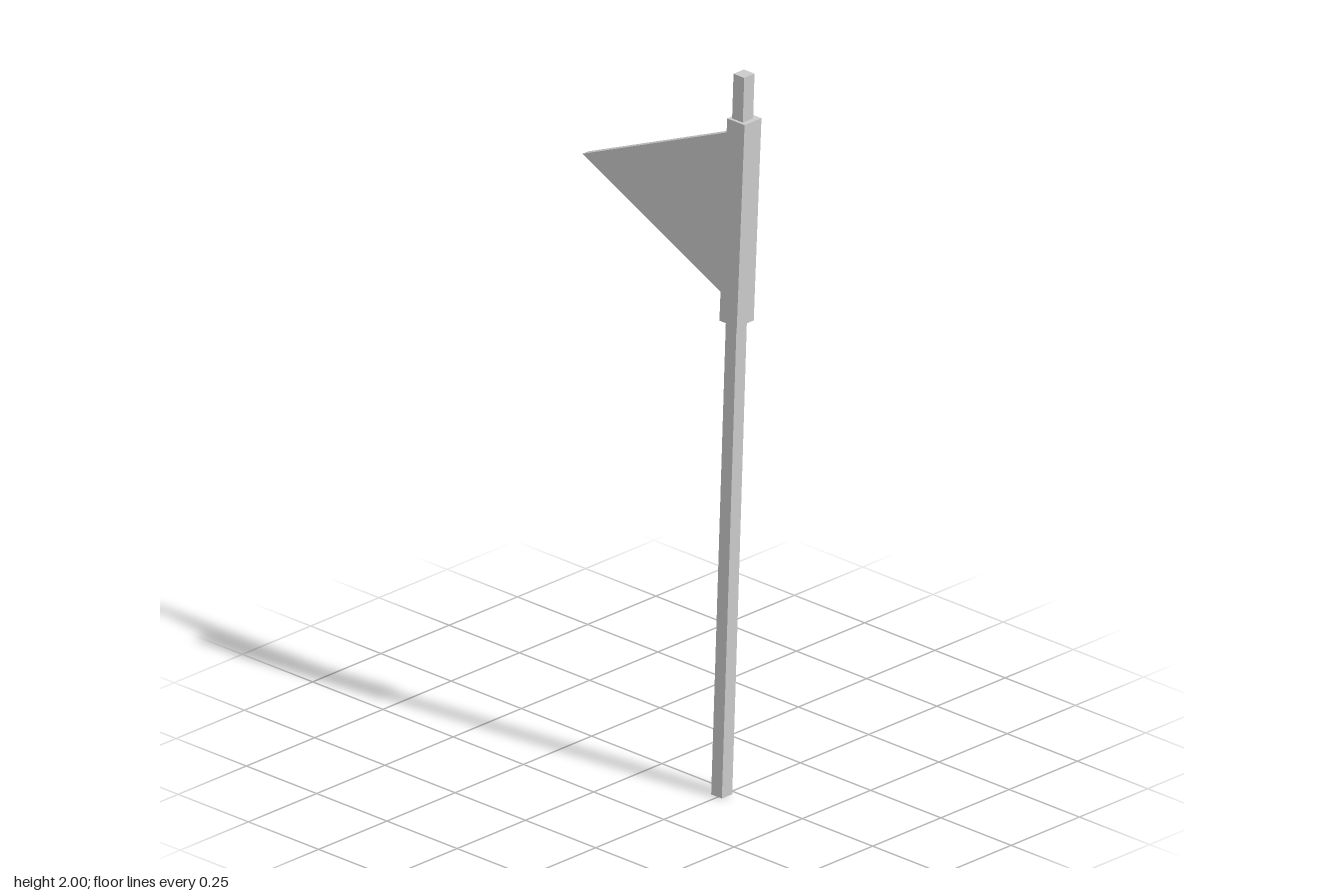
import * as THREE from 'three';

const material = new THREE.MeshStandardMaterial({ color: 0xcccccc, flatShading: true });

// Square bar whose centre line leans from one point to another, ends kept level
function leaningBar(name, width, from, to) {
  const height = to[1] - from[1];
  const geometry = new THREE.BoxGeometry(width, height, width);
  const p = geometry.attributes.position;
  for (let i = 0; i < p.count; i++) {
    const t = p.getY(i) / height + 0.5;
    p.setXYZ(
      i,
      p.getX(i) + THREE.MathUtils.lerp(from[0], to[0], t),
      THREE.MathUtils.lerp(from[1], to[1], t),
      p.getZ(i) + THREE.MathUtils.lerp(from[2], to[2], t)
    );
  }
  geometry.computeVertexNormals();
  const mesh = new THREE.Mesh(geometry, material);
  mesh.name = name;
  return mesh;
}

// Triangular pennant, leaning with the pole and swung slightly backwards
function pennant() {
  const thickness = 0.022;
  const shape = new THREE.Shape([
    new THREE.Vector2(-0.302, 1.602),
    new THREE.Vector2(0.246, 1.36),
    new THREE.Vector2(0.256, 1.839),
  ]);
  const geometry = new THREE.ExtrudeGeometry(shape, { depth: thickness, bevelEnabled: false });
  const p = geometry.attributes.position;
  for (let i = 0; i < p.count; i++) {
    const centre = -0.0195 + 0.0213 * (p.getX(i) - 0.24) - 0.028 * (p.getY(i) - 1.6);
    p.setZ(i, p.getZ(i) - thickness / 2 + centre);
  }
  geometry.computeVertexNormals();
  const mesh = new THREE.Mesh(geometry, material);
  mesh.name = 'pennant';
  return mesh;
}

export function createModel() {
  const flag = new THREE.Group();
  flag.name = 'flag';
  flag.add(
    leaningBar('pole', 0.038, [0.245, 0, 0.033], [0.27, 2, -0.023]),
    leaningBar('sleeve', 0.062, [0.259, 1.313, -0.007], [0.271, 1.876, -0.023]),
    pennant()
  );
  return flag;
}
